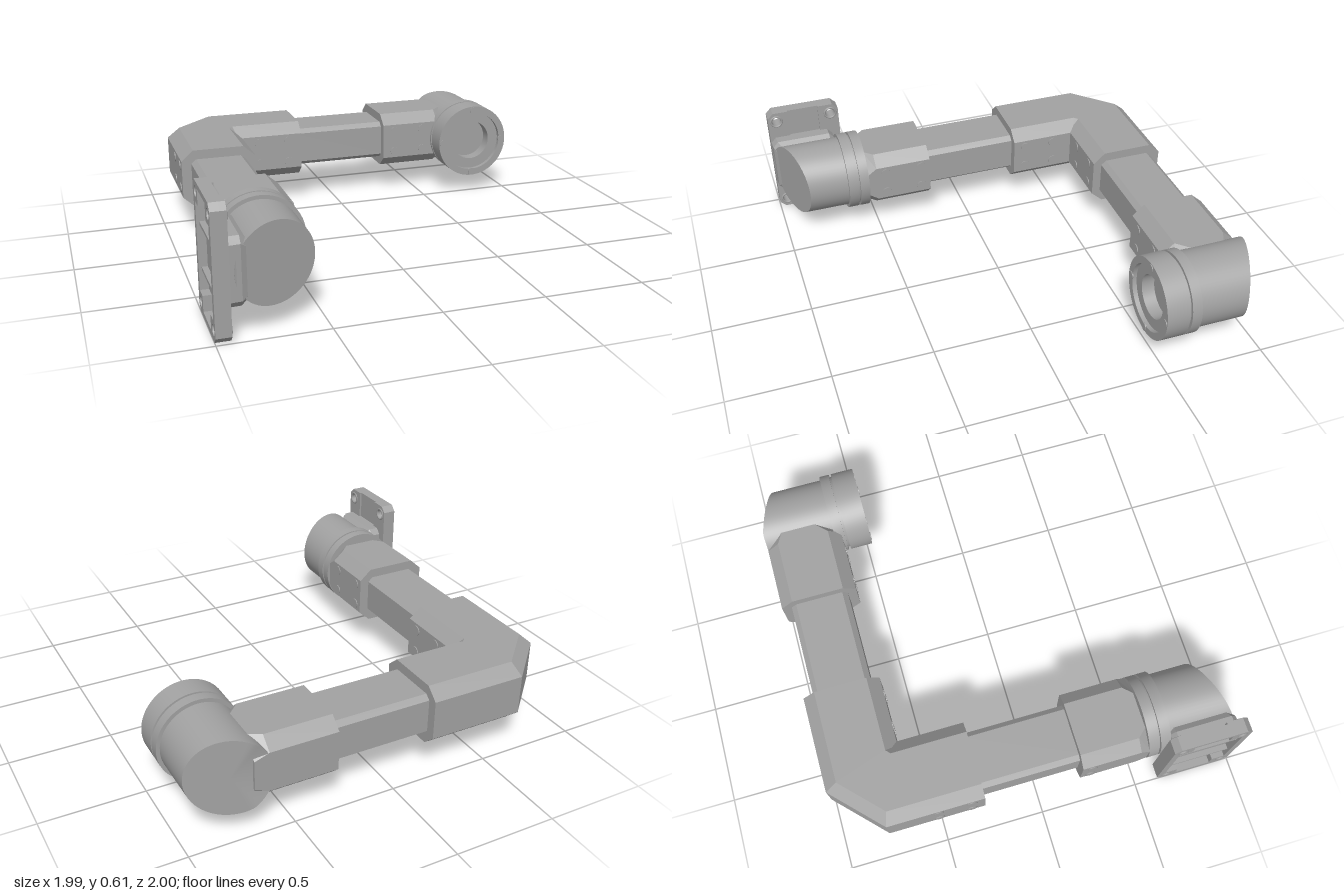
import * as THREE from 'three';
import { toCreasedNormals } from 'three/addons/utils/BufferGeometryUtils.js';

const Y = 0.305; // height of the arm's centre line

export function createModel() {
  const group = new THREE.Group();
  const grey = new THREE.MeshStandardMaterial({ color: 0xa2a2a2 });
  const add = (name, geometry) => {
    const mesh = new THREE.Mesh(geometry, grey);
    mesh.name = name;
    group.add(mesh);
    return mesh;
  };

  // Chamfered box section swept through sections [ax, az, bx, bz, halfHeight, chamferFraction, chamferHeight]
  const loft = (name, sections) => {
    const rings = sections.map(([ax, az, bx, bz, h, f, c]) =>
      [[f, -h], [1 - f, -h], [1, c - h], [1, h - c], [1 - f, h], [f, h], [0, h - c], [0, c - h]]
        .map(([s, y]) => [ax + (bx - ax) * s, Y + y, az + (bz - az) * s]));
    const out = [];
    const tri = (...pts) => pts.forEach(p => out.push(...p));
    for (let i = 0; i < rings.length - 1; i++) {
      const p = rings[i], q = rings[i + 1];
      for (let j = 0; j < 8; j++) {
        const k = (j + 1) % 8;
        tri(p[j], p[k], q[k]);
        tri(p[j], q[k], q[j]);
      }
    }
    const first = rings[0], last = rings[rings.length - 1];
    for (let j = 1; j < 7; j++) {
      tri(first[0], first[j + 1], first[j]);
      tri(last[0], last[j], last[j + 1]);
    }
    const g = new THREE.BufferGeometry();
    g.setAttribute('position', new THREE.Float32BufferAttribute(out, 3));
    g.computeVertexNormals();
    return add(name, g);
  };

  const lathe = (name, x, profile) => {
    const g = new THREE.LatheGeometry(profile.map(p => new THREE.Vector2(...p)), 64);
    g.rotateX(Math.PI / 2);
    g.translate(x, Y, 0);
    return add(name, toCreasedNormals(g, 0.5));
  };

  // Round joint housing along z whose far end is cut at a slant
  const housing = (name, x, z0, cutZ) => {
    const g = new THREE.CylinderGeometry(0.187, 0.187, 1, 64);
    g.rotateX(Math.PI / 2);
    const pos = g.attributes.position;
    const far = cutZ(0) > z0 ? 1 : -1;
    for (let i = 0; i < pos.count; i++) {
      const px = pos.getX(i) + x;
      pos.setXYZ(i, px, pos.getY(i) + Y, pos.getZ(i) * far > 0 ? cutZ(px) : z0);
    }
    return add(name, toCreasedNormals(g, 0.5));
  };

  // Screw heads in pairs on the side faces
  const screw = (x, y, z, axis, radius = 0.025) => {
    const g = new THREE.CylinderGeometry(radius, radius, 0.008, 24);
    if (axis === 'x') g.rotateZ(Math.PI / 2); else g.rotateX(Math.PI / 2);
    g.translate(x, y, z);
    add('screw', g);
  };
  for (const y of [Y - 0.06, Y + 0.06]) {
    for (const x of [-0.44, -0.27, 0.36, 0.53]) {
      screw(x, y, -0.615, 'z');
      if (x < 0.5) screw(x, y, -1 + 0.004, 'z');
    }
    for (const z of [-0.51, -0.345, 0.26, 0.455]) {
      screw(-0.535, y, z, 'x');
      if (z < 0.4) screw(-0.92, y, z, 'x');
    }
  }

  // Wall plate: rim at the back, web with bolt holes, raised side strips
  const plateLayer = (name, x, depth, z0, z1, pocket) => {
    const c = 0.03, H = 0.61;
    const cHi = z1 > 0.99 ? c : 0, cLo = z0 < 0.62 ? c : 0;
    const shape = new THREE.Shape([
      [-z1 + cHi, 0], [-z0 - cLo, 0], [-z0, cLo], [-z0, H - cLo],
      [-z0 - cLo, H], [-z1 + cHi, H], [-z1, H - cHi], [-z1, cHi],
    ].map(p => new THREE.Vector2(...p)));
    for (const z of [0.66, 0.955]) for (const y of [0.052, 0.558]) {
      if (z > z0 && z < z1) shape.holes.push(new THREE.Path().absarc(-z, y, 0.025, 0, Math.PI * 2, true));
    }
    if (pocket) {
      shape.holes.push(new THREE.Path([[-0.965, 0.1], [-0.965, 0.51], [-0.9, 0.51], [-0.9, 0.585], [-0.715, 0.585],
        [-0.715, 0.51], [-0.65, 0.51], [-0.65, 0.1], [-0.715, 0.1], [-0.715, 0.025], [-0.9, 0.025], [-0.9, 0.1]]
        .map(p => new THREE.Vector2(...p))));
    }
    const g = new THREE.ExtrudeGeometry(shape, { depth, bevelEnabled: false, curveSegments: 12 });
    g.rotateY(Math.PI / 2);
    g.translate(x, 0, 0);
    add(name, g);
  };
  plateLayer('plateRim', -1, 0.04, 0.615, 1, true);
  plateLayer('plateWeb', -0.96, 0.02, 0.615, 1, false);
  plateLayer('plateStrip', -0.94, 0.01, 0.615, 0.725, false);
  plateLayer('plateStrip', -0.94, 0.01, 0.89, 1, false);

  // Bolt collars on the plate
  for (const z of [0.66, 0.955]) for (const y of [0.052, 0.558]) {
    const g = new THREE.TorusGeometry(0.03, 0.006, 6, 24);
    g.rotateY(Math.PI / 2);
    g.translate(-0.931, y, z);
    add('boltCollar', g);
  }

  // Ribs in the hollow back of the plate
  for (const y of [0.2, 0.41]) {
    const rib = add('plateRib', new THREE.BoxGeometry(0.03, 0.015, 0.32));
    rib.position.set(-0.972, y, 0.8075);
  }

  // Wall joint: neck, slanted housing and turning ring
  loft('neck', [
    [-0.945, 1, -0.945, 0.66, 0.155, 0.08, 0.03],
    [-0.88, 0.995, -0.88, 0.66, 0.155, 0.08, 0.03],
    [-0.83, 0.965, -0.83, 0.66, 0.12, 0.08, 0.03],
    [-0.74, 0.93, -0.74, 0.66, 0.12, 0.08, 0.03],
  ]);
  housing('wallHousing', -0.725, 0.65, x => 0.87 + (-0.54 - x) * 0.35);
  lathe('wallRing', -0.725, [
    [0, 0.55], [0.205, 0.55], [0.205, 0.6], [0.19, 0.6], [0.19, 0.61],
    [0.205, 0.61], [0.205, 0.662], [0, 0.662],
  ]);

  // Sleeves and corner elbow
  loft('wallSleeve', [
    [-0.92, 0.21, -0.535, 0.21, 0.152, 0.16, 0.055],
    [-0.92, 0.505, -0.535, 0.505, 0.152, 0.16, 0.055],
    [-0.92, 0.555, -0.535, 0.555, 0.152, 0.28, 0.09],
  ]);
  loft('cornerElbow', [
    [-0.2, -1, -0.2, -0.615, 0.152, 0.16, 0.055],
    [-0.68, -1, -0.555, -0.615, 0.152, 0.16, 0.055],
    [-0.92, -0.765, -0.535, -0.635, 0.152, 0.16, 0.055],
    [-0.92, -0.28, -0.535, -0.28, 0.152, 0.16, 0.055],
  ]);
  loft('endSleeve', [
    [0.29, -0.615, 0.29, -1, 0.152, 0.16, 0.055],
    [0.62, -0.615, 0.62, -1, 0.152, 0.16, 0.055],
    [0.69, -0.65, 0.69, -1, 0.152, 0.28, 0.08],
  ]);

  // Straight bars between the sleeves
  loft('sideBar', [
    [-0.87, -0.3, -0.585, -0.3, 0.104, 0.09, 0.022],
    [-0.87, 0.23, -0.585, 0.23, 0.104, 0.09, 0.022],
  ]);
  loft('backBar', [
    [-0.22, -0.66, -0.22, -0.952, 0.104, 0.09, 0.022],
    [0.31, -0.66, 0.31, -0.952, 0.104, 0.09, 0.022],
  ]);

  // End joint: slanted housing and open ring with hollow hub
  housing('endHousing', 0.785, -0.64, x => Math.max(-1, -0.9 - (0.97 - x) * 0.357));
  lathe('endRing', 0.785, [
    [0, -0.65], [0.205, -0.65], [0.205, -0.6], [0.19, -0.6], [0.19, -0.588],
    [0.205, -0.588], [0.205, -0.472], [0.168, -0.472], [0.168, -0.495],
    [0.152, -0.495], [0.11, -0.495], [0.11, -0.56], [0, -0.56],
  ]);
  for (let i = 0; i < 4; i++) {
    const a = i * Math.PI / 2;
    screw(0.785 + 0.182 * Math.cos(a), Y + 0.182 * Math.sin(a), -0.472, 'z', 0.02);
  }
  return group;
}
